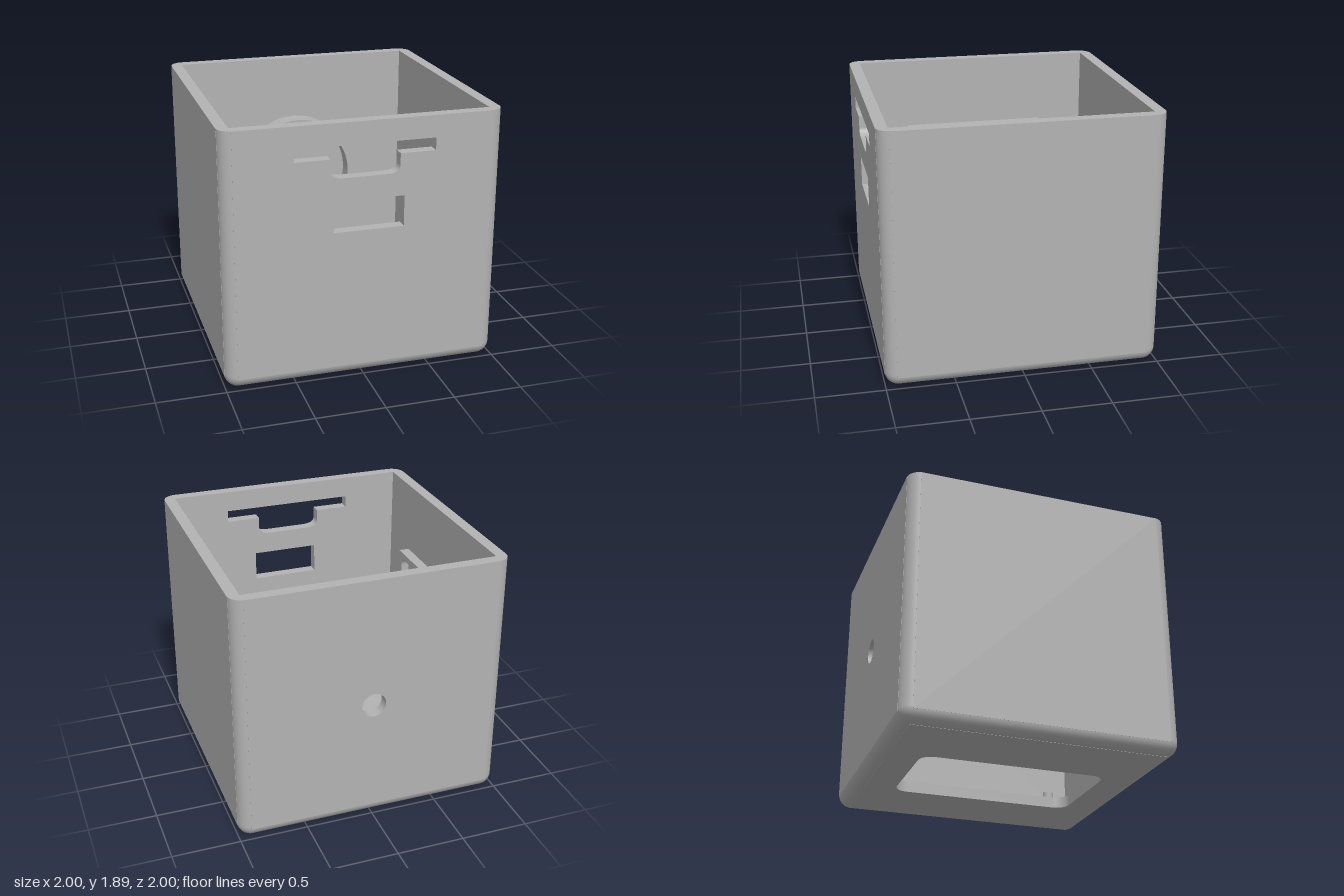
import * as THREE from 'three';

const H = 1.89;      // height of the box
const R = 0.1;       // outer edge radius
const IN = 0.917;    // inner half width
const T = 1 - IN;    // wall thickness

function roundedRect(Path, x0, y0, x1, y1, r) {
  const p = new Path();
  p.moveTo(x0 + r, y0);
  p.lineTo(x1 - r, y0);
  p.absarc(x1 - r, y0 + r, r, -Math.PI / 2, 0, false);
  p.lineTo(x1, y1 - r);
  p.absarc(x1 - r, y1 - r, r, 0, Math.PI / 2, false);
  p.lineTo(x0 + r, y1);
  p.absarc(x0 + r, y1 - r, r, Math.PI / 2, Math.PI, false);
  p.lineTo(x0, y0 + r);
  p.absarc(x0 + r, y0 + r, r, Math.PI, Math.PI * 1.5, false);
  return p;
}

function rect(Path, x0, y0, x1, y1) {
  const p = new Path();
  p.moveTo(x0, y0);
  p.lineTo(x1, y0);
  p.lineTo(x1, y1);
  p.lineTo(x0, y1);
  p.closePath();
  return p;
}

const circle = (Path, x, y, r) => new Path().absarc(x, y, r, 0, Math.PI * 2, false);

const extrude = (shape, depth) =>
  new THREE.ExtrudeGeometry(shape, { depth, bevelEnabled: false, curveSegments: 20 });

// Rounded vertical corners and rounded bottom edge, as a stack of rounded-square rings
function roundedEdges() {
  const n = 10, per = 4 * (n + 1), c = 1 - R;
  const pos = [], nor = [], idx = [];
  const rows = [[H, 0]];
  for (let i = 0; i <= n; i++) {
    const t = (i / n) * Math.PI / 2;
    rows.push([R - R * Math.sin(t), t]);
  }
  for (const [y, t] of rows) {
    for (let q = 0; q < 4; q++) {
      const sx = q === 0 || q === 3 ? 1 : -1, sz = q < 2 ? 1 : -1;
      for (let k = 0; k <= n; k++) {
        const p = (q + k / n) * Math.PI / 2;
        const nx = Math.cos(p) * Math.cos(t), nz = Math.sin(p) * Math.cos(t);
        pos.push(sx * c + R * nx, y, sz * c + R * nz);
        nor.push(nx, -Math.sin(t), nz);
      }
    }
  }
  for (let i = 0; i < rows.length - 1; i++) {
    for (let j = 0; j < per; j++) {
      if (i === 0 && (j + 1) % (n + 1) === 0) continue; // the flat walls fill these spans
      const k = (j + 1) % per;
      const a = i * per + j, b = i * per + k;
      idx.push(a, b, a + per, b, b + per, a + per);
    }
  }
  const g = new THREE.BufferGeometry();
  g.setAttribute('position', new THREE.Float32BufferAttribute(pos, 3));
  g.setAttribute('normal', new THREE.Float32BufferAttribute(nor, 3));
  g.setIndex(idx);
  return g;
}

export function createModel() {
  const model = new THREE.Group();
  model.name = 'enclosure';
  const grey = new THREE.MeshStandardMaterial({ color: 0xb3b3b3 });
  const add = (name, geometry, parent = model) => {
    const mesh = new THREE.Mesh(geometry, grey);
    mesh.name = name;
    parent.add(mesh);
    return mesh;
  };

  add('roundedEdges', roundedEdges());

  // Four flat walls
  const wall = (name, angle, holes = []) => {
    const s = rect(THREE.Shape, -IN, T, IN, H - 0.001);
    s.holes.push(...holes);
    add(name, extrude(s, T).translate(0, 0, IN)).rotation.y = angle;
  };
  const slot = new THREE.Path();
  slot.moveTo(-0.5, 1.73);
  slot.lineTo(-0.5, 1.64);
  slot.lineTo(-0.25, 1.64);
  slot.lineTo(-0.25, 1.56);
  slot.bezierCurveTo(-0.25, 1.52, -0.22, 1.5, -0.15, 1.5);
  slot.lineTo(0.15, 1.5);
  slot.bezierCurveTo(0.22, 1.5, 0.245, 1.52, 0.245, 1.56);
  slot.lineTo(0.245, 1.64);
  slot.lineTo(0.5, 1.64);
  slot.lineTo(0.5, 1.73);
  slot.closePath();
  wall('frontWall', 0, [slot, rect(THREE.Path, -0.225, 1.11, 0.28, 1.335)]);
  wall('backWall', Math.PI, [circle(THREE.Path, 0, 0.925, 0.09)]);
  wall('leftWall', Math.PI / 2);
  wall('rightWall', -Math.PI / 2);

  // Top rim
  const rim = roundedRect(THREE.Shape, -1, -1, 1, 1, R);
  rim.holes.push(rect(THREE.Path, -IN, -IN, IN, IN));
  add('topRim', new THREE.ShapeGeometry(rim, 10).rotateX(-Math.PI / 2).translate(0, H, 0));

  // Floor with its large opening
  const floor = rect(THREE.Shape, -IN, -IN, IN, IN);
  floor.holes.push(roundedRect(THREE.Path, -0.395, -0.685, 0.39, 0.69, 0.1));
  add('floor', extrude(floor, T).rotateX(-Math.PI / 2));

  // Locating pins on the floor
  for (const x of [-0.73, 0.525]) {
    for (const z of [-0.655, 0.605]) {
      add('floorPin', new THREE.CylinderGeometry(0.04, 0.04, 0.08, 24)).position.set(x, T + 0.04, z);
    }
  }

  // Ring collar inside the back wall
  const ring = circle(THREE.Shape, 0, 0.925, 0.472);
  ring.holes.push(circle(THREE.Path, 0, 0.925, 0.43));
  const collar = new THREE.ExtrudeGeometry(ring, { depth: 0.14, bevelEnabled: false, curveSegments: 48 });
  add('ringCollar', collar.translate(0, 0, -0.92));

  // Framed holder inside the right wall, drawn flat and turned to face inward
  const holder = new THREE.Group();
  holder.name = 'sideHolder';
  holder.position.set(-IN, 0.885, 0);
  holder.rotation.y = Math.PI / 2;
  model.add(holder);
  const frame = rect(THREE.Shape, -0.55, -0.465, 0.56, 0.465);
  frame.holes.push(roundedRect(THREE.Path, -0.5, -0.415, 0.51, 0.415, 0.06));
  add('holderFrame', extrude(frame, 0.08), holder);
  const boss = (name, x, y, r, h) =>
    add(name, new THREE.CylinderGeometry(r, r, h, 24).rotateX(Math.PI / 2), holder).position.set(x, y, h / 2);
  for (const s of [-1, 1]) {
    for (const y of [-0.35, 0.35]) boss('cornerBoss', s * 0.43, y, 0.045, 0.03);
    boss('sideBoss', s * 0.38, -0.08, 0.08, 0.02);
  }

  return model;
}
